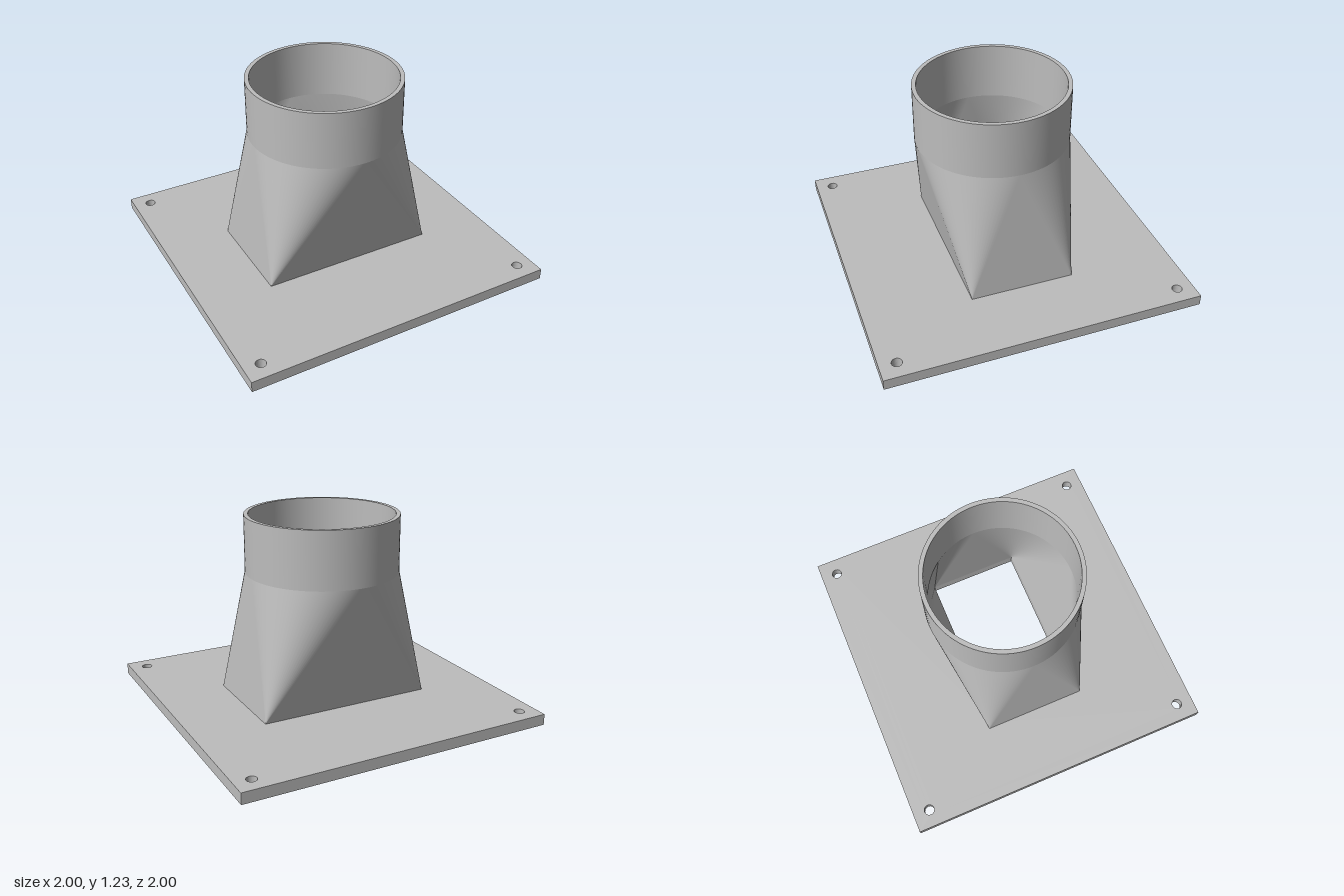
import * as THREE from 'three';

const BASE = 0.07, SEAM = 0.87, TOP = 1.23;
const OUTER = { r: 0.48, hx: 0.555, hz: 0.33 };
const INNER = { r: 0.453, hx: 0.527, hz: 0.293 };
const STEPS = 24; // segments per quarter circle

// Duct skin: rectangle-to-circle transition with a straight round collar above
function ductSkin({ r, hx, hz }, inward) {
  const pos = [], nor = [];
  const tri = (pts, normals) => {
    const order = inward ? [0, 2, 1] : [0, 1, 2];
    for (const i of order) {
      pos.push(...pts[i].toArray());
      nor.push(...normals[i].clone().multiplyScalar(inward ? -1 : 1).toArray());
    }
  };
  const rim = (a, y) => new THREE.Vector3(r * Math.cos(a), y, r * Math.sin(a));
  const radial = (a) => new THREE.Vector3(Math.cos(a), 0, Math.sin(a));
  const corner = (k) => new THREE.Vector3(
    [1, -1, -1, 1][k % 4] * hx, BASE, [1, 1, -1, -1][k % 4] * hz);
  // normal of the plane through a corner and the rim tangent
  const slope = (c, a) => rim(a, SEAM).sub(c)
    .cross(new THREE.Vector3(-Math.sin(a), 0, Math.cos(a))).normalize();

  for (let k = 0; k < 4; k++) {
    const c = corner(k);
    for (let i = 0; i < STEPS; i++) {
      const a = (k + i / STEPS) * Math.PI / 2;
      const b = (k + (i + 1) / STEPS) * Math.PI / 2;
      // conical corner
      const na = slope(c, a), nb = slope(c, b);
      tri([c, rim(a, SEAM), rim(b, SEAM)], [na.clone().add(nb).normalize(), na, nb]);
      // round collar
      const ra = radial(a), rb = radial(b);
      tri([rim(a, SEAM), rim(a, TOP), rim(b, TOP)], [ra, ra, rb]);
      tri([rim(a, SEAM), rim(b, TOP), rim(b, SEAM)], [ra, rb, rb]);
    }
    // flat triangular side
    const end = (k + 1) * Math.PI / 2, n = slope(c, end);
    tri([c, rim(end, SEAM), corner(k + 1)], [n, n, n]);
  }
  const geo = new THREE.BufferGeometry();
  geo.setAttribute('position', new THREE.Float32BufferAttribute(pos, 3));
  geo.setAttribute('normal', new THREE.Float32BufferAttribute(nor, 3));
  return geo;
}

function rectangle(path, hx, hz) {
  path.moveTo(-hx, -hz);
  path.lineTo(hx, -hz);
  path.lineTo(hx, hz);
  path.lineTo(-hx, hz);
  path.closePath();
  return path;
}

export function createModel() {
  const model = new THREE.Group();
  model.name = 'ductAdapter';
  const grey = new THREE.MeshStandardMaterial({ color: 0xbdbdbd });
  grey.name = 'grey';
  const add = (name, geo, parent = model) => {
    const mesh = new THREE.Mesh(geo, grey);
    mesh.name = name;
    parent.add(mesh);
    return mesh;
  };

  // Base plate with a rectangular opening and four screw holes
  const outline = rectangle(new THREE.Shape(), 1, 1);
  outline.holes.push(rectangle(new THREE.Path(), INNER.hx, INNER.hz));
  for (const x of [-0.893, 0.893]) {
    for (const z of [-0.893, 0.893]) {
      outline.holes.push(new THREE.Path().absarc(x, z, 0.032, 0, Math.PI * 2, true));
    }
  }
  const plate = new THREE.ExtrudeGeometry(outline, {
    depth: BASE, bevelEnabled: false, curveSegments: 16,
  });
  add('basePlate', plate.rotateX(-Math.PI / 2));

  // Duct walls and top rim
  const duct = new THREE.Group();
  duct.name = 'duct';
  model.add(duct);
  add('outerWall', ductSkin(OUTER, false), duct);
  add('innerWall', ductSkin(INNER, true), duct);
  const rim = new THREE.RingGeometry(INNER.r, OUTER.r, STEPS * 4);
  add('topRim', rim.rotateX(-Math.PI / 2).translate(0, TOP, 0), duct);

  return model;
}
